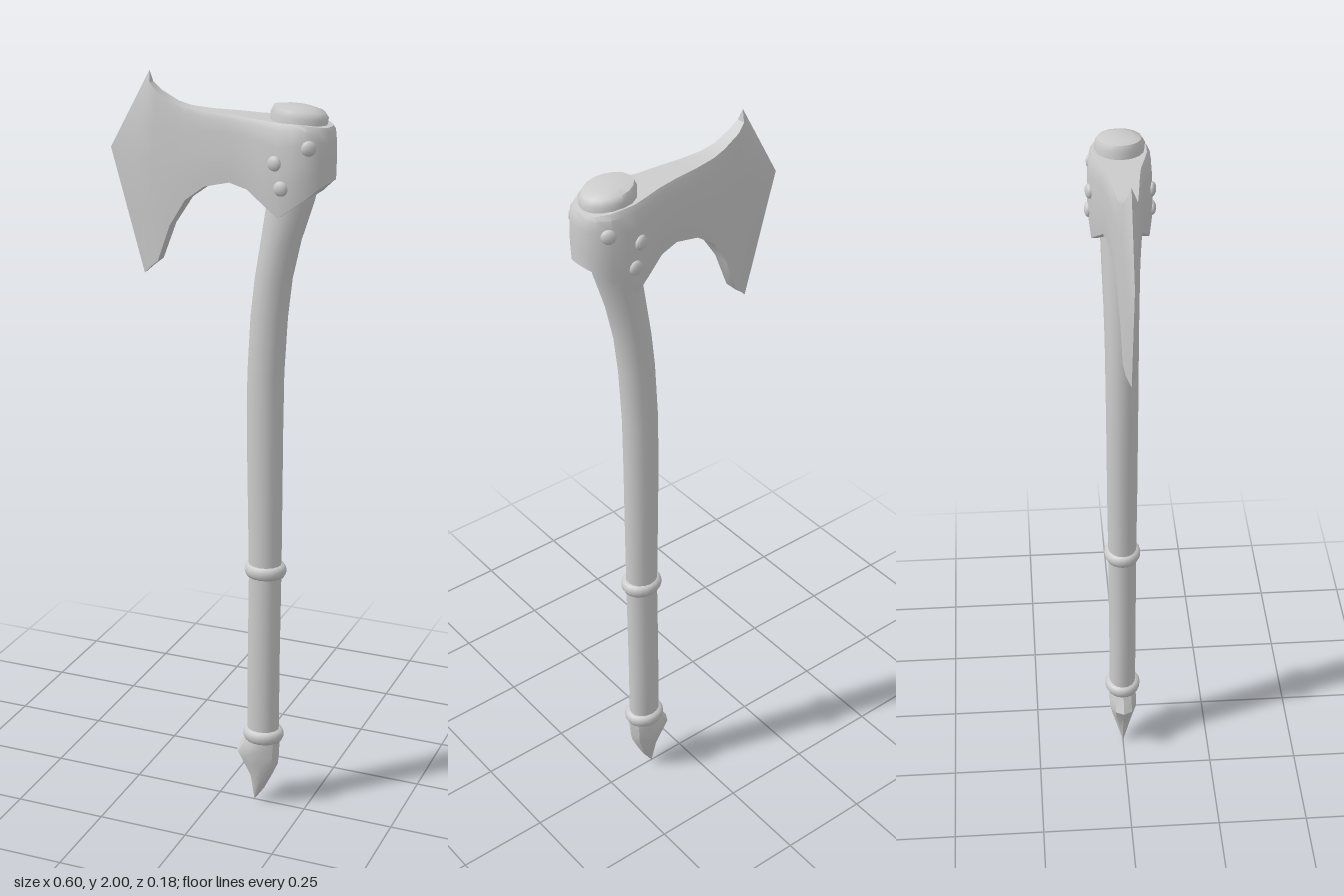
import * as THREE from 'three';
import { toCreasedNormals } from 'three/addons/utils/BufferGeometryUtils.js';

const material = new THREE.MeshStandardMaterial({ color: 0xcccccc });

// Skin a row of closed rings of equal length.
function skin(name, rings, crease) {
  const n = rings[0].length;
  const index = [];
  for (let i = 0; i < rings.length - 1; i++) {
    for (let j = 0; j < n; j++) {
      const k = (j + 1) % n;
      const a = i * n + j, b = a + n, c = (i + 1) * n + k, d = i * n + k;
      index.push(a, b, d, b, c, d);
    }
  }
  const geo = new THREE.BufferGeometry();
  geo.setAttribute('position', new THREE.Float32BufferAttribute(rings.flat(2), 3));
  geo.setIndex(index);
  const mesh = new THREE.Mesh(toCreasedNormals(geo, crease), material);
  mesh.name = name;
  return mesh;
}

// Stack of ellipses, each [y, centre x, radius x, radius z, slant].
function ellipses(name, sections, sides = 16, crease = 0.8) {
  const rings = sections.map(([y, cx, rx, rz, slant = 0]) =>
    Array.from({ length: sides }, (_, j) => {
      const t = (j / sides) * Math.PI * 2;
      return [cx + rx * Math.cos(t), y + slant * Math.cos(t), rz * Math.sin(t)];
    }));
  return skin(name, rings, crease);
}

// Axe head: columns from cutting edge to poll.
function createHead() {
  // bottom x, y, middle x, y, top x, y, half thickness
  const columns = [
    [-0.21, 1.48, -0.30, 1.80, -0.19, 2.00, 0],
    [-0.19, 1.50, -0.235, 1.79, -0.185, 1.97, 0.014],
    [-0.165, 1.52, -0.18, 1.775, -0.165, 1.95, 0.02],
    [-0.13, 1.615, -0.13, 1.78, -0.12, 1.925, 0.024],
  ];
  // The rest stand upright: x, bottom y, top y, half thickness
  const upright = [
    [-0.085, 1.685, 1.915, 0.029],
    [-0.03, 1.725, 1.91, 0.036],
    [0.04, 1.742, 1.908, 0.045],
    [0.09, 1.73, 1.905, 0.053],
    [0.135, 1.70, 1.903, 0.067],
    [0.18, 1.67, 1.90, 0.079],
    [0.215, 1.695, 1.90, 0.08],
    [0.25, 1.72, 1.897, 0.075],
    [0.28, 1.747, 1.893, 0.054],
    [0.295, 1.757, 1.89, 0.03],
    [0.30, 1.76, 1.89, 0],
  ];
  for (const [x, lo, hi, half] of upright) columns.push([x, lo, x, (lo + hi) / 2, x, hi, half]);

  // Height along the column, thickness scale
  const rows = [[0, 0.92], [0.25, 1], [0.5, 1], [0.75, 0.98], [0.93, 0.93], [1, 0.82]];
  const rings = columns.map(([bx, by, mx, my, tx, ty, half]) => {
    const side = rows.map(([v, s]) => {
      const t = v < 0.5 ? v * 2 : v * 2 - 1;
      let x = v < 0.5 ? bx + (mx - bx) * t : mx + (tx - mx) * t;
      const y = v < 0.5 ? by + (my - by) * t : my + (ty - my) * t;
      // Round the rim of the poll
      if (x > 0.21 && v > 0.5) x = 0.21 + (x - 0.21) * (1 - (1 - s) * 0.5);
      return [x, y, half * s];
    });
    return [...side, ...side.map(([x, y, z]) => [x, y, -z]).reverse()];
  });
  return skin('axeHead', rings, 0.6);
}

// Raised band around the handle.
function createBand(name, y, cx) {
  return ellipses(name, [
    [y - 0.018, cx, 0.042, 0.034],
    [y - 0.016, cx, 0.051, 0.045],
    [y - 0.006, cx, 0.056, 0.05],
    [y + 0.006, cx, 0.056, 0.05],
    [y + 0.016, cx, 0.051, 0.045],
    [y + 0.018, cx, 0.042, 0.034],
  ], 20, 1);
}

export function createModel() {
  const group = new THREE.Group();

  // Curved shaft, flaring into the domed end above the head
  group.add(ellipses('handle', [
    [0.18, 0.127, 0.044, 0.037],
    [0.45, 0.127, 0.044, 0.038],
    [0.70, 0.129, 0.044, 0.039],
    [0.90, 0.127, 0.046, 0.041],
    [1.10, 0.125, 0.048, 0.042],
    [1.25, 0.126, 0.048, 0.043],
    [1.40, 0.134, 0.048, 0.044],
    [1.50, 0.145, 0.048, 0.046],
    [1.60, 0.164, 0.051, 0.049],
    [1.70, 0.188, 0.060, 0.051],
    [1.78, 0.201, 0.066, 0.054],
    [1.88, 0.207, 0.070, 0.060],
    [1.915, 0.208, 0.072, 0.062, -0.008],
    [1.929, 0.207, 0.064, 0.054, -0.008],
    [1.935, 0.205, 0.040, 0.034, -0.004],
    [1.937, 0.205, 0, 0],
  ]));

  group.add(createBand('upperBand', 0.705, 0.130));
  group.add(createBand('lowerBand', 0.218, 0.128));

  // Pointed butt with a hooked belly
  group.add(ellipses('pommel', [
    [0.005, 0.103, 0, 0],
    [0.045, 0.114, 0.017, 0.013],
    [0.085, 0.121, 0.030, 0.025],
    [0.130, 0.119, 0.052, 0.036],
    [0.158, 0.112, 0.062, 0.040],
    [0.185, 0.121, 0.054, 0.040],
    [0.210, 0.128, 0.048, 0.038],
  ], 10, 0.6));

  group.add(createHead());

  // Rivets on both cheeks
  const rivet = new THREE.SphereGeometry(0.019, 12, 8);
  for (const side of [1, -1]) {
    for (const [x, y, z, turn] of [[0.172, 1.805, 0.077, -0.2], [0.19, 1.745, 0.079, 0], [0.257, 1.845, 0.068, 0.5]]) {
      const mesh = new THREE.Mesh(rivet, material);
      mesh.name = 'rivet';
      mesh.position.set(x, y, z * side);
      mesh.rotation.y = turn * side;
      mesh.scale.z = 0.55;
      group.add(mesh);
    }
  }
  return group;
}
